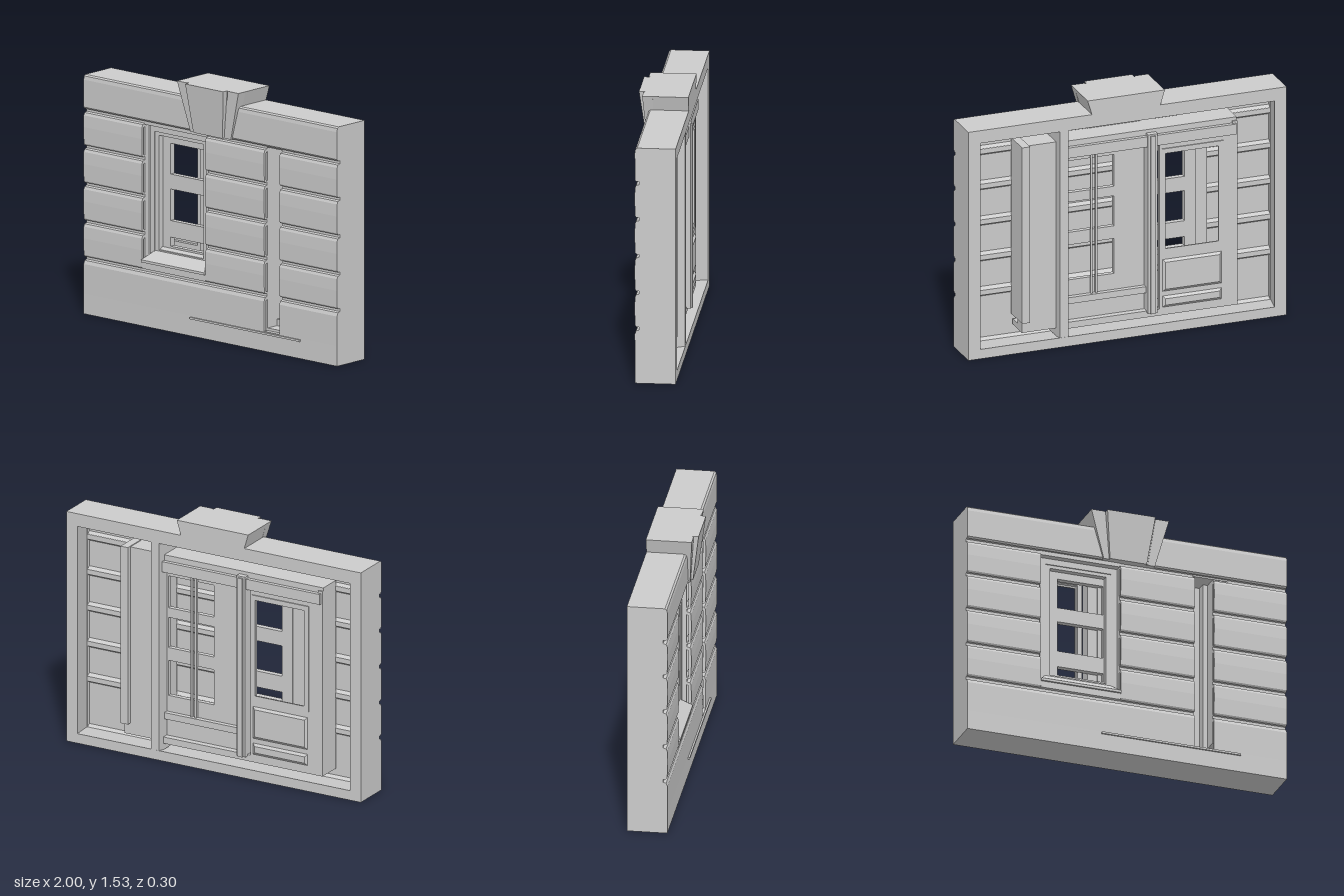
import * as THREE from 'three';
import { ConvexGeometry } from 'three/addons/geometries/ConvexGeometry.js';

const material = new THREE.MeshStandardMaterial({ color: 0xcccccc, side: THREE.DoubleSide });

export function createModel() {
  const model = new THREE.Group();

  const add = (name, geometry) => {
    const mesh = new THREE.Mesh(geometry, material);
    mesh.name = name;
    model.add(mesh);
  };

  // Box given by its limits on each axis
  const box = (name, x0, x1, y0, y1, z0, z1) =>
    add(name, new THREE.BoxGeometry(x1 - x0, y1 - y0, z1 - z0)
      .translate((x0 + x1) / 2, (y0 + y1) / 2, (z0 + z1) / 2));

  // Upright board with rectangular holes [x0, x1, y0, y1]
  const corners = ([x0, x1, y0, y1]) => [[x0, y0], [x1, y0], [x1, y1], [x0, y1]];
  const rect = (Type, limits) => new Type(corners(limits).map(p => new THREE.Vector2(...p)));
  const board = (name, outer, holes, z0, z1) => {
    const shape = rect(THREE.Shape, outer);
    holes.forEach(h => shape.holes.push(rect(THREE.Path, h)));
    add(name, new THREE.ExtrudeGeometry(shape, { depth: z1 - z0, bevelEnabled: false })
      .translate(0, 0, z0));
  };

  // Convex solid from corner points
  const solid = (name, points) =>
    add(name, new ConvexGeometry(points.map(p => new THREE.Vector3(...p))));

  // Profile of [z, y] points swept along x
  const sweep = (name, profile, x0, x1) => {
    const shape = new THREE.Shape(profile.map(([z, y]) => new THREE.Vector2(-z, y)));
    add(name, new THREE.ExtrudeGeometry(shape, { depth: x1 - x0, bevelEnabled: false })
      .rotateY(Math.PI / 2).translate(x0, 0, 0));
  };

  // Thin stone: a shell with a hollow back, solid where it meets the wall ends
  const END = 0.975;
  const stone = (name, front, back, x0, x1) => {
    sweep(name, [...front, ...back], Math.max(x0, -END), Math.min(x1, END));
    const filled = [...front, back[0], back[back.length - 1]];
    if (x0 === -1) sweep(name + 'End', filled, -1, -END);
    if (x1 === 1) sweep(name + 'End', filled, END, 1);
  };

  // Rim round the hollow back: sides and floor flare outward, the head slopes down to the front
  const outer = corners([-1, 1, 0, 1.44]);
  const innerBack = corners([-0.925, 0.925, 0.06, 1.36]);
  const innerFront = corners([-0.98, 0.98, 0.025, 1.32]);
  for (let i = 0; i < 4; i++) {
    solid('rim', [i, (i + 1) % 4].flatMap(k => [
      [...outer[k], -0.15], [...outer[k], 0.06], [...innerBack[k], -0.15], [...innerFront[k], 0.06]]));
  }
  box('rib', 0.37, 0.425, 0.05, 1.37, -0.149, 0.06);

  // Stone courses with a groove along the top of each one
  const course = (y0, y1, x0, x1) => stone('stoneCourse', [
    [0.065, y0], [0.082, y0], [0.089, y0 + 0.01], [0.092, (y0 + y1) / 2],
    [0.09, y1 - 0.04], [0.083, y1 - 0.024], [0.065, y1 - 0.019], [0.065, y1]],
  [[0.052, y1], [0.052, y1 - 0.03], [0.076, y1 - 0.045], [0.076, y0 + 0.015], [0.052, y0]], x0, x1);
  const levels = [0.345, 0.565, 0.79, 1.015, 1.235];
  for (let i = 0; i < 4; i++) {
    [[-1, -0.54], [-0.04, 0.425], [0.545, 1]].forEach(([a, b]) => course(levels[i], levels[i + 1], a, b));
  }
  stone('plinth', [[0.05, 0], [0.09, 0], [0.09, 0.12]], [[0.076, 0.12], [0.076, 0.04], [0.05, 0.025]], -1, 1);
  [[-1, 0.425], [0.545, 1]].forEach(([a, b]) => stone('baseCourse',
    [[0.076, 0.12], [0.09, 0.12], [0.091, 0.3], [0.083, 0.321], [0.065, 0.326], [0.065, 0.345]],
    [[0.05, 0.345], [0.05, 0.315], [0.076, 0.3], [0.076, 0.121]], a, b));
  [-1, END].forEach(x => box('baseEnd', x, x + 1 - END, 0.02, 0.32, 0.05, 0.08));
  stone('topCourse', [
    [0.055, 1.235], [0.082, 1.235], [0.09, 1.245], [0.091, 1.41], [0.087, 1.432], [0.076, 1.44]],
  [[0.06, 1.44], [0.06, 1.42], [0.076, 1.4], [0.076, 1.25], [0.055, 1.236]], -1, 1);
  box('nicheSill', 0.425, 0.545, 0.1, 0.12, 0.05, 0.089);
  box('windowApron', -0.54, -0.04, 0.345, 0.39, 0.055, 0.088);
  box('windowLintel', -0.54, -0.04, 1.21, 1.236, 0.03, 0.07);
  box('thinLedge', -0.16, 0.71, 0.103, 0.115, 0.085, 0.1);

  // Keystone: centre wedge and two set-back cheeks, tapering down
  const wedge = (name, top, bottom, zTop, zBottom, zBack) => solid(name, [
    [top[0], 1.53, zTop], [top[1], 1.53, zTop], [bottom[0], 1.235, zBottom], [bottom[1], 1.235, zBottom],
    [top[0], 1.53, zBack], [top[1], 1.53, zBack], [bottom[0], 1.235, zBack], [bottom[1], 1.235, zBack]]);
  wedge('keystoneCentre', [-0.145, 0.155], [-0.115, 0.115], 0.15, 0.112, 0.06);
  wedge('keystoneLeftCheek', [0.165, 0.25], [0.125, 0.17], 0.122, 0.1, 0.06);
  wedge('keystoneRightCheek', [-0.235, -0.155], [-0.15, -0.125], 0.122, 0.1, 0.06);
  wedge('keystoneCore', [-0.23, 0.245], [-0.145, 0.165], 0.115, 0.097, 0.055);
  solid('keystoneTop', [-0.15, 0.08].flatMap(z => [
    [-0.235, 1.53, z], [0.25, 1.53, z], [-0.205, 1.43, z], [0.22, 1.43, z]]));

  // Window: set-back frame inside a stone return, with a raised bead and sloping sill
  board('windowReturn', [-0.55, -0.03, 0.36, 1.22], [[-0.54, -0.04, 0.39, 1.21]], 0.01, 0.064);
  board('windowFrame', [-0.545, -0.035, 0.385, 1.215], [[-0.46, -0.11, 0.46, 1.15]], -0.03, 0.03);
  board('windowBead', [-0.525, -0.055, 0.4, 1.2], [[-0.49, -0.08, 0.43, 1.17]], 0.03, 0.037);
  solid('windowSill', [
    [-0.54, 0.385, 0.03], [-0.04, 0.385, 0.03], [-0.54, 0.385, 0.1], [-0.04, 0.385, 0.1],
    [-0.54, 0.4, 0.1], [-0.04, 0.4, 0.1], [-0.47, 0.475, 0], [-0.1, 0.475, 0],
    [-0.47, 0.42, 0], [-0.1, 0.42, 0]]);
  board('windowSash', [-0.47, -0.1, 0.45, 1.16],
    [[0.485, 0.54], [0.64, 0.83], [0.92, 1.105]].map(([a, b]) => [-0.4, -0.115, a, b]), -0.04, -0.005);

  // Doorway box standing behind the stone face
  box('doorHeader', -0.71, 0.37, 1.22, 1.27, -0.09, 0.06);
  box('doorHeaderMoulding', -0.7, 0.37, 1.17, 1.235, -0.115, -0.09);
  box('doorSide', -0.71, -0.68, 0.1, 1.25, -0.1, 0.06);
  box('threshold', -0.71, 0.37, 0.09, 0.13, -0.1, 0.06);

  // Door leaf behind the window: one tall light over two raised panels
  board('glazedLeaf', [-0.68, -0.22, 0.12, 1.22], [[-0.6, -0.25, 0.5, 1.12]], -0.1, -0.075);
  board('lightBead', [-0.62, -0.235, 0.48, 1.14], [[-0.59, -0.255, 0.51, 1.11]], -0.107, -0.1);
  const raisedPanel = (y0, y1) => solid('raisedPanel', [[0, -0.1], [0.015, -0.112]].flatMap(([d, z]) => [
    [-0.61 + d, y0 + d, z], [-0.24 - d, y0 + d, z], [-0.61 + d, y1 - d, z], [-0.24 - d, y1 - d, z]]));
  raisedPanel(0.24, 0.44);
  raisedPanel(0.14, 0.21);

  // Meeting post between the leaves
  box('meetingPost', -0.2, -0.14, 0.12, 1.25, -0.125, -0.04);
  box('postBead', -0.185, -0.155, 0.12, 1.24, -0.135, -0.125);

  // Second leaf: three lights, slim glazing bars and a lower rail
  board('paneledLeaf', [-0.14, 0.37, 0.12, 1.22],
    [[0.38, 0.6], [0.68, 0.87], [0.93, 1.13]].map(([a, b]) => [0.05, 0.36, a, b]), -0.06, -0.03);
  [0.16, 0.19].forEach(x => box('glazingBar', x, x + 0.012, 0.26, 1.2, -0.075, -0.06));
  box('lowerRail', -0.14, 0.37, 0.24, 0.28, -0.09, -0.06);

  // Tall niche and its stepped jamb
  box('nicheBack', 0.42, 0.56, 0.1, 1.25, -0.09, -0.075);
  box('jamb', 0.545, 0.64, 0.17, 1.27, -0.09, 0.06);
  box('jambEdge', 0.6, 0.65, 0.17, 1.28, -0.12, 0.06);
  box('jambBead', 0.515, 0.55, 0.12, 1.235, -0.085, -0.02);
  box('nicheHeader', 0.42, 0.64, 1.225, 1.275, -0.09, 0.07);
  box('nicheFloor', 0.42, 0.64, 0.1, 0.135, -0.09, 0.06);
  box('nicheStep', 0.425, 0.64, 0.13, 0.175, -0.09, -0.02);

  return model;
}
